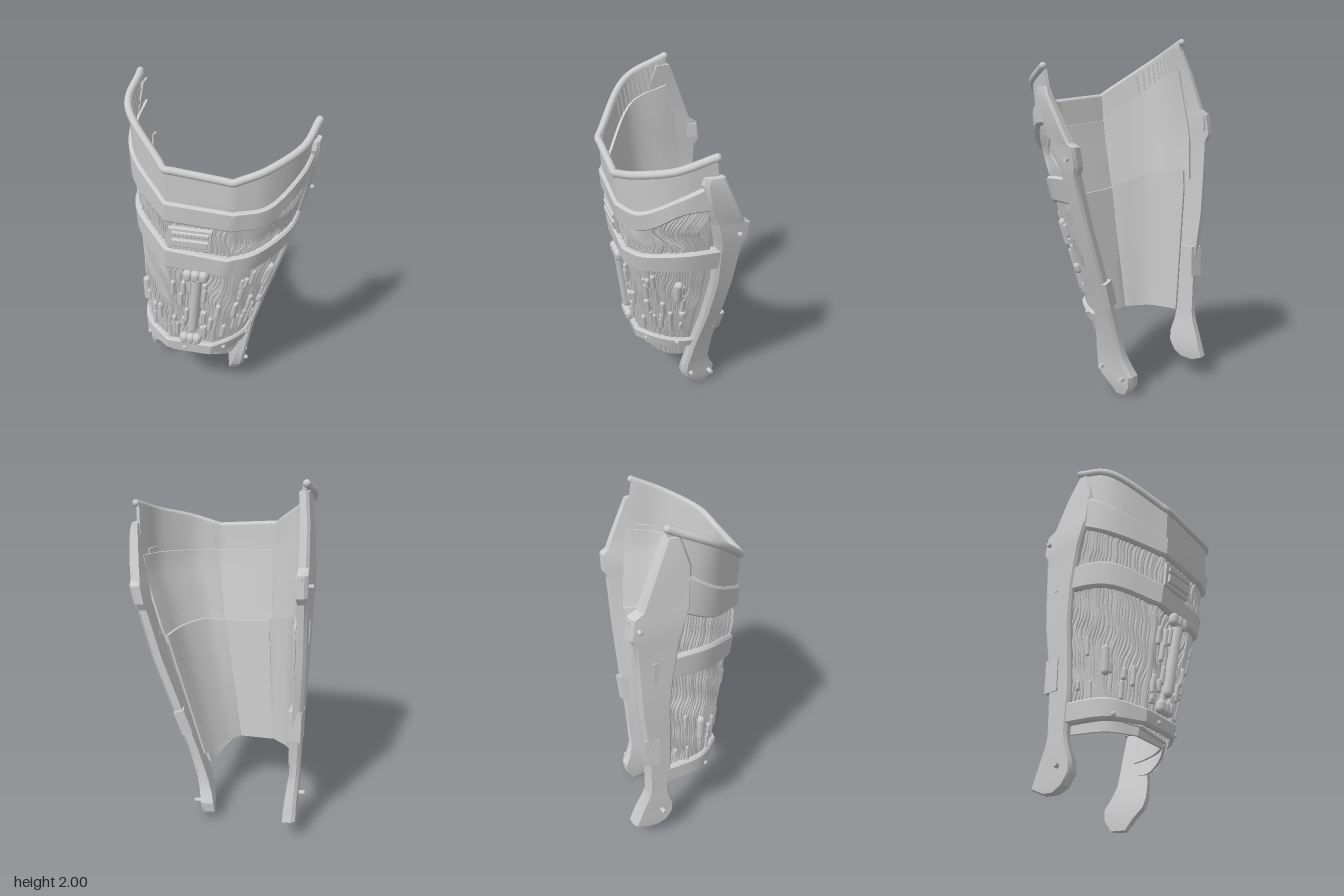
import * as THREE from 'three';
import { toCreasedNormals } from 'three/addons/utils/BufferGeometryUtils.js';

const V = (x, y, z) => new THREE.Vector3(x, y, z);
const mix = THREE.MathUtils.lerp;
const mat = new THREE.MeshStandardMaterial({ color: 0xcccccc, side: THREE.DoubleSide });

// plan outlines of the shell: seven stations from the right rear (0) round the front to the left rear (6)
const SECTIONS = [
  { y: 0.45, x: [-0.44, -0.45, -0.34, -0.10, 0.01, 0.10, 0.15], z: [-0.25, 0.00, 0.16, 0.22, 0.165, 0.07, -0.05] },
  { y: 1.15, x: [-0.45, -0.46, -0.32, -0.01, 0.14, 0.30, 0.38], z: [-0.30, 0.00, 0.25, 0.33, 0.30, 0.16, -0.03] },
  { y: 1.45, x: [-0.45, -0.47, -0.31, 0.02, 0.20, 0.37, 0.45], z: [-0.29, 0.01, 0.28, 0.375, 0.34, 0.20, 0.03] },
  { y: 1.80, x: [-0.43, -0.475, -0.31, 0.02, 0.18, 0.36, 0.46], z: [-0.22, 0.03, 0.30, 0.395, 0.375, 0.26, 0.09] },
];

// smooth interpolation with sharp corners kept at stations 2 and 3
function along(a, s) {
  s = THREE.MathUtils.clamp(s, 0, 6);
  const [lo, hi] = s < 2 ? [0, 2] : s < 3 ? [2, 3] : [3, 6];
  const i = Math.min(Math.floor(s), hi - 1), t = s - i;
  const p = a[i], q = a[i + 1];
  const m0 = i > lo ? (q - a[i - 1]) / 2 : q - p;
  const m1 = i + 1 < hi ? (a[i + 2] - p) / 2 : q - p;
  const t2 = t * t, t3 = t2 * t;
  return (2 * t3 - 3 * t2 + 1) * p + (t3 - 2 * t2 + t) * m0 + (3 * t2 - 2 * t3) * q + (t3 - t2) * m1;
}

function base(s, y) {
  let k = 0;
  while (k < SECTIONS.length - 2 && y > SECTIONS[k + 1].y) k++;
  const a = SECTIONS[k], b = SECTIONS[k + 1], t = Math.min((y - a.y) / (b.y - a.y), 1.3);
  return V(mix(along(a.x, s), along(b.x, s), t), y, mix(along(a.z, s), along(b.z, s), t));
}

// point on the shell, moved outward by off
function onShell(s, y, off = 0) {
  const a = base(Math.max(s - 0.06, 0), y), b = base(Math.min(s + 0.06, 6), y);
  const n = V(a.z - b.z, 0, b.x - a.x).normalize();
  return base(s, y).addScaledVector(n, off);
}

// closed solid through rings of equal length, with strip caps
function loft(rings, crease = 0.5) {
  const n = rings[0].length, idx = [], quad = (a, b, c, d) => idx.push(a, b, c, a, c, d);
  for (let r = 0; r < rings.length - 1; r++)
    for (let k = 0; k < n; k++) {
      const j = (k + 1) % n;
      quad(r * n + k, r * n + j, (r + 1) * n + j, (r + 1) * n + k);
    }
  const e = (rings.length - 1) * n;
  for (let k = 0; k < n / 2 - 1; k++) {
    quad(k, n - 1 - k, n - 2 - k, k + 1);
    quad(e + k, e + k + 1, e + n - 2 - k, e + n - 1 - k);
  }
  const pts = rings.flat();
  let vol = 0;
  for (let i = 0; i < idx.length; i += 3)
    vol += pts[idx[i]].dot(pts[idx[i + 1]].clone().cross(pts[idx[i + 2]]));
  if (vol < 0) idx.reverse();
  const g = new THREE.BufferGeometry().setFromPoints(pts);
  g.setIndex(idx);
  return toCreasedNormals(g, crease);
}

// curved slab on the shell; bottom and top heights are given per station
function slab(bot, top, inner, outer, { from = 0, to = 6, rows = 1, bevel = 0, steps = 48 } = {}) {
  const rings = [];
  for (let i = 0; i <= steps; i++) {
    const s = from + (to - from) * i / steps, b = along(bot, s), t = along(top, s), ring = [];
    if (bevel) ring.push(onShell(s, b, outer - bevel));
    for (let r = 0; r <= rows; r++) ring.push(onShell(s, b + bevel + (t - b - 2 * bevel) * r / rows, outer));
    if (bevel) ring.push(onShell(s, t, outer - bevel));
    const count = ring.length;
    for (let r = count - 1; r >= 0; r--) ring.push(onShell(s, b + (t - b) * r / (count - 1), inner));
    rings.push(ring);
  }
  return loft(rings);
}

// thin inner panel whose distance from the shell changes from bottom to top
function lining(bot, top, offBot, offTop, from, to) {
  const rings = [], rows = 8;
  for (let i = 0; i <= 48; i++) {
    const s = from + (to - from) * i / 48;
    const at = (r, d) => onShell(s, mix(along(bot, s), along(top, s), r / rows), mix(along(offBot, s), along(offTop, s), r / rows) - d);
    const ring = [];
    for (let r = 0; r <= rows; r++) ring.push(at(r, 0));
    for (let r = rows; r >= 0; r--) ring.push(at(r, 0.014));
    rings.push(ring);
  }
  return loft(rings);
}

// upright side rail from [y, x, front z, rear z, thickness, skew of the rear towards +x]
function rail(rows, side) {
  return loft(rows.map(([y, x, f, r, t, k]) => {
    const h = t / 2 * side, c = Math.min(0.014, (f - r) / 4);
    const at = (dx, z) => V(x + dx + k * ((f - z) / (f - r) - 0.5), y, z);
    return [at(h, f - c), at(h, r + c), at(h * 0.4, r), at(-h, r), at(-h, f), at(h * 0.4, f)];
  }), 0.45);
}

export function createModel() {
  const group = new THREE.Group();
  const add = (name, geo, pos) => {
    const m = new THREE.Mesh(geo, mat);
    m.name = name;
    if (pos) m.position.copy(pos);
    group.add(m);
    return m;
  };
  const tube = (name, pts, r, seg = 20, sides = 6) =>
    add(name, new THREE.TubeGeometry(new THREE.CatmullRomCurve3(pts), seg, r, sides));
  let seed = 7;
  const rnd = () => (seed = (seed * 16807) % 2147483647) / 2147483647;

  // heights per station
  const rimY = [1.98, 1.87, 1.67, 1.635, 1.69, 1.75, 1.82];
  const band1Top = [1.84, 1.66, 1.49, 1.47, 1.49, 1.61, 1.70];
  const band1Bot = [1.62, 1.48, 1.37, 1.35, 1.37, 1.51, 1.53];
  const band2Top = [1.32, 1.31, 1.20, 1.17, 1.20, 1.25, 1.26];
  const band2Bot = [1.18, 1.16, 1.07, 1.04, 1.07, 1.11, 1.11];
  const hem = [0.45, 0.45, 0.42, 0.39, 0.33, 0.29, 0.30];

  // outer bands and collar
  add('upperBand', slab(band1Bot, band1Top, -0.02, 0.018, { bevel: 0.012 }));
  add('middleBand', slab(band2Bot, band2Top, -0.03, 0.018, { bevel: 0.012 }));
  add('lowerBand', slab([0.44, 0.44, 0.43, 0.42, 0.41, 0.40, 0.40], [0.55, 0.55, 0.51, 0.50, 0.50, 0.48, 0.47], -0.025, 0.018, { bevel: 0.01 }));
  add('collar', slab(band1Top.map(y => y - 0.04), rimY, -0.02, 0, { rows: 3 }));
  const rimPts = [];
  for (let i = 0; i <= 48; i++) rimPts.push(onShell(i / 8, along(rimY, i / 8), 0));
  tube('collarRim', rimPts, 0.02, 96, 10);
  for (const p of [rimPts[0], rimPts[48]]) add('rimEnd', new THREE.SphereGeometry(0.02, 12, 8), p);
  for (let i = 0; i < 10; i++) {
    const s = 0.1 + i * 0.13, t = along(rimY, s);
    tube('collarPleat', [0.16, 0.09, 0.02].map((d, k) => onShell(s + 0.03 * k, t - d, -0.02)), 0.006, 6, 5);
  }

  // core wall and inner lining panels
  add('coreWall', slab(hem, band1Bot.map(y => y + 0.04), -0.03, -0.017, { to: 5.65, rows: 10 }));
  const seam = [1.25, 1.22, 1.13, 1.10, 1.12, 1.12, 1.12];
  add('upperLining', lining(seam.map(y => y - 0.05), [1.83, 1.74, 1.53, 1.50, 1.51, 1.53, 1.55],
    [-0.04, -0.04, -0.045, -0.045, -0.055, -0.06, -0.06], [-0.022, -0.022, -0.022, -0.022, -0.03, -0.03, -0.022], 0.05, 6));
  add('lowerLining', lining([0.40, 0.39, 0.38, 0.37, 0.37, 0.37, 0.37], seam,
    [-0.035, -0.035, -0.03, -0.03, -0.045, -0.045, -0.025], [-0.055, -0.055, -0.06, -0.06, -0.07, -0.075, -0.07], 0.15, 6));

  // wavy cables over the core wall, bending more strongly high on the left
  for (let i = 0; i < 92; i++) {
    const s = 0.15 + 5.4 * (i + rnd() * 0.6) / 92, ph = s * 3, amp = 0.04 + 0.04 * rnd();
    const y0 = along(hem, s) + 0.01, y1 = along(band1Bot, s) + 0.02, pts = [];
    for (let k = 0; k <= 16; k++) {
      const y = y0 + (y1 - y0) * k / 16;
      const bend = s > 3 && y > 1.18 ? 0.22 * Math.sin((y - 1.18) * 22) : 0;
      const wave = amp * (Math.sin(y * 11 + ph) + 0.6 * Math.sin(y * 29 + ph * 2));
      pts.push(onShell(THREE.MathUtils.clamp(s + wave + bend, 0.05, 5.6), y, -0.015));
    }
    tube('cable', pts, 0.006 + 0.005 * rnd(), 32, 5);
  }

  // capsules laid along the wall
  const pod = (s, y, r, len, off = 0) => {
    const m = add('pod', new THREE.CapsuleGeometry(r, len, 4, 8), onShell(s, y, off));
    const dir = onShell(s, y + 0.1).sub(onShell(s, y - 0.1)).normalize();
    m.quaternion.setFromUnitVectors(V(0, 1, 0), dir);
  };
  for (let i = 0; i < 34; i++) pod(0.4 + 4.9 * rnd(), 0.58 + 0.42 * rnd(), 0.01 + 0.006 * rnd(), 0.03 + 0.09 * rnd(), -0.005);
  for (let i = 0; i < 18; i++) pod(2.1 + 0.8 * rnd(), 0.58 + 0.4 * rnd(), 0.014, 0.08);
  pod(4.9, 0.93, 0.024, 0.12);
  pod(5.1, 0.73, 0.022, 0.02);
  pod(1, 0.75, 0.022, 0.12);

  // main front pipe with end fittings
  pod(2.55, 0.82, 0.028, 0.38, 0.015);
  for (const y of [1.035, 0.545])
    for (const ds of [-0.14, 0, 0.14]) pod(2.52 + ds, y, 0.028, 0.02, 0.018);

  // control box above the middle band
  const even = v => Array(7).fill(v);
  const boxPart = (name, y0, y1, outer, from, to) =>
    add(name, slab(even(y0), even(y1), -0.02, outer, { from, to, steps: 6, bevel: 0.007 }));
  boxPart('frontBox', 1.20, 1.34, 0.012, 2.04, 2.72);
  boxPart('frontBoxLid', 1.225, 1.275, 0.026, 2.1, 2.68);
  boxPart('frontBoxBar', 1.29, 1.32, 0.022, 2.1, 2.68);

  // side rails ending in feet
  add('leftRail', rail([
    [1.72, 0.455, 0.14, 0.055, 0.04, 0.03], [1.68, 0.455, 0.15, 0.04, 0.05, 0.04], [1.52, 0.445, 0.11, -0.04, 0.055, 0.045],
    [1.44, 0.437, 0.07, -0.08, 0.055, 0.045], [1.42, 0.436, 0.065, -0.115, 0.06, 0.045], [1.32, 0.42, 0.035, -0.12, 0.06, 0.04],
    [1.28, 0.41, 0.025, -0.10, 0.055, 0.035], [1.0, 0.34, -0.005, -0.115, 0.055, 0.02], [0.7, 0.238, -0.02, -0.13, 0.055, 0.015],
    [0.45, 0.152, -0.005, -0.14, 0.055, 0.01], [0.25, 0.10, 0.02, -0.15, 0.06, 0], [0.17, 0.082, 0.02, -0.18, 0.07, 0],
    [0.12, 0.075, 0.005, -0.21, 0.075, 0], [0.06, 0.068, -0.05, -0.205, 0.075, 0], [0.005, 0.06, -0.09, -0.17, 0.06, 0]], 1));
  add('rightRail', rail([
    [1.94, -0.42, -0.14, -0.21, 0.045, 0.02], [1.80, -0.44, -0.10, -0.27, 0.045, 0.04], [1.60, -0.445, -0.11, -0.345, 0.05, 0.055],
    [1.57, -0.441, -0.12, -0.39, 0.055, 0.065], [1.46, -0.441, -0.15, -0.405, 0.055, 0.065], [1.42, -0.443, -0.16, -0.38, 0.05, 0.055],
    [1.2, -0.443, -0.19, -0.37, 0.05, 0.045], [1.0, -0.44, -0.20, -0.36, 0.055, 0.035], [0.80, -0.436, -0.19, -0.335, 0.055, 0.03],
    [0.62, -0.433, -0.185, -0.32, 0.055, 0.025], [0.40, -0.43, -0.20, -0.315, 0.055, 0.02], [0.34, -0.427, -0.19, -0.33, 0.06, 0.03],
    [0.26, -0.42, -0.165, -0.36, 0.065, 0.035], [0.20, -0.415, -0.165, -0.38, 0.07, 0.035], [0.14, -0.412, -0.2, -0.4, 0.07, 0.035],
    [0.11, -0.415, -0.25, -0.33, 0.06, 0.015]], -1));

  // clips on the rails
  const clip = (name, x, y, z, w, h, d, tiltZ, turnY) => {
    add(name, new THREE.BoxGeometry(w, h, d), V(x, y, z)).rotation.set(0, turnY, tiltZ);
  };
  clip('leftClip', 0.21, 0.62, -0.125, 0.06, 0.15, 0.05, -0.33, 0);
  clip('rightClip', -0.42, 0.71, -0.29, 0.075, 0.18, 0.085, 0, -0.3);
  clip('rightLatch', -0.40, 1.52, -0.365, 0.045, 0.08, 0.05, 0, -0.4);

  // pins and rivets
  const pin = (x, y, z, r = 0.013, len = 0.05) => {
    add('pin', new THREE.CylinderGeometry(r, r, len, 10), V(x, y, z)).rotation.z = Math.PI / 2;
  };
  pin(0.115, 0.16, -0.02);
  pin(0.125, 0.11, -0.16);
  pin(-0.465, 0.235, -0.24);
  pin(0.47, 1.36, -0.06, 0.012, 0.03);
  pin(-0.455, 1.51, -0.36, 0.012, 0.03);
  for (const s of [1.2, 2.4, 3.6, 5]) add('rivet', new THREE.SphereGeometry(0.014, 10, 6), onShell(s, 0.46, 0.018));

  return group;
}
